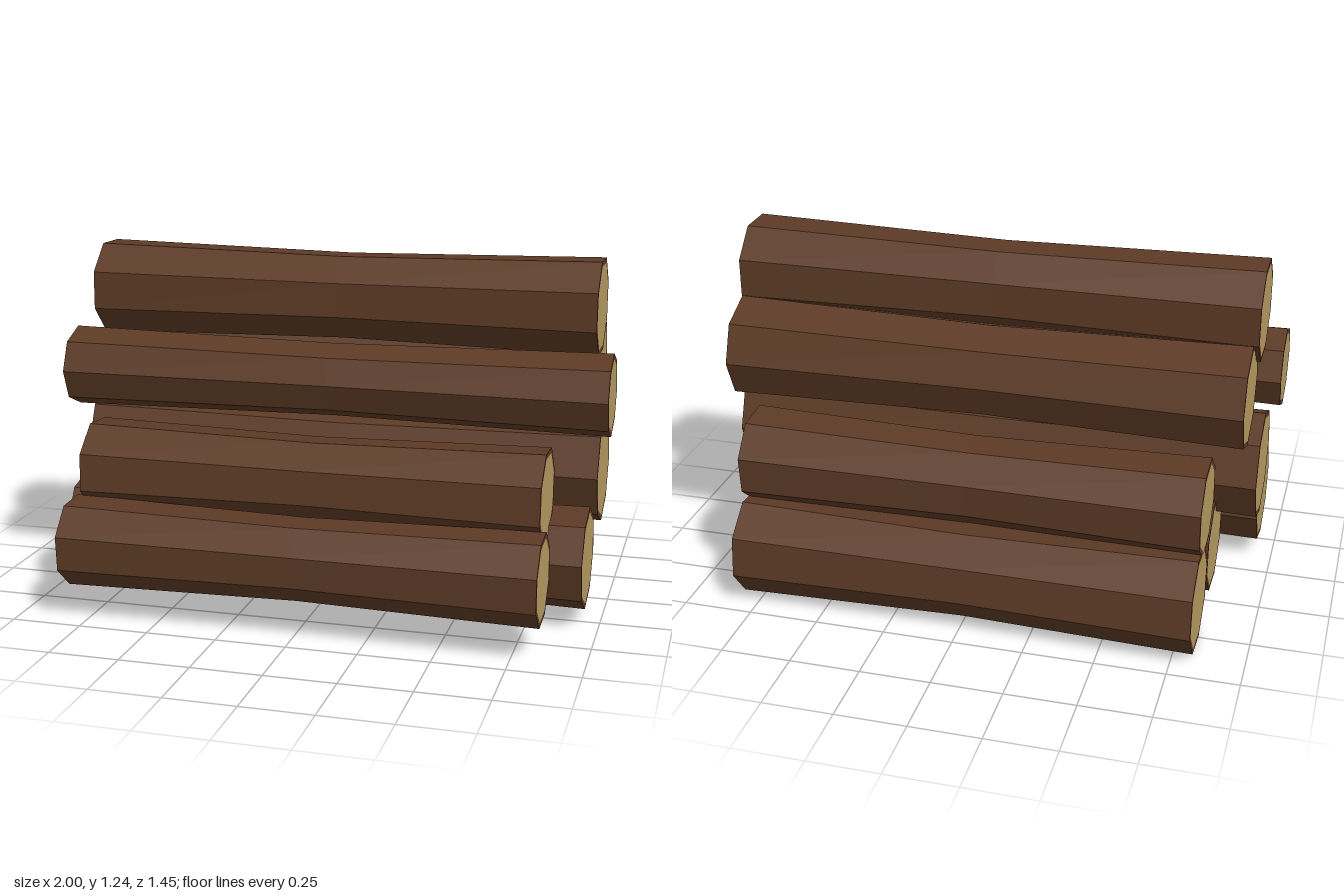
import * as THREE from 'three';

const SIDES = 8;
const RIM = 0.019; // bark thickness seen on the cut ends
const WAIST = 0.9; // logs narrow slightly at mid length

const bark = new THREE.MeshStandardMaterial({ color: 0x5c3a25, flatShading: true });
const wood = new THREE.MeshStandardMaterial({ color: 0xb89d62, flatShading: true });

// Octagonal shell turned around the x axis from [radius, x] points
function turned(name, profile, degrees, material) {
  const points = profile.map(([r, x]) => new THREE.Vector2(r, x));
  const geometry = new THREE.LatheGeometry(points, SIDES, -THREE.MathUtils.degToRad(degrees));
  geometry.rotateZ(-Math.PI / 2);
  const mesh = new THREE.Mesh(geometry, material);
  mesh.name = name;
  return mesh;
}

function createLog(name, z, y, radius, half, degrees) {
  const log = new THREE.Group();
  log.name = name;
  const inner = radius - RIM;
  // Bark with its end rims
  log.add(turned('bark', [
    [inner, -half], [radius, -half], [radius * WAIST, 0], [radius, half], [inner, half],
  ], degrees, bark));
  // Cut wood at both ends
  log.add(turned('rightCutEnd', [[0, -half], [inner, -half]], degrees, wood));
  log.add(turned('leftCutEnd', [[inner, half], [0, half]], degrees, wood));
  log.position.set(0, y, z);
  return log;
}

export function createModel() {
  const stack = new THREE.Group();
  stack.name = 'logPile';
  // name, z, y, radius, half length, roll in degrees
  const logs = [
    ['bottomFrontLog', 0.575, 0.262, 0.16, 0.84, 19],
    ['bottomFrontInnerLog', 0.215, 0.23, 0.182, 0.945, 8],
    ['bottomBackInnerLog', -0.19, 0.222, 0.181, 0.82, 20],
    ['bottomBackLog', -0.543, 0.185, 0.187, 0.82, 17],
    ['secondRowFrontLog', 0.383, 0.49, 0.174, 0.82, 26],
    ['secondRowMiddleLog', -0.06, 0.488, 0.2, 0.96, 2],
    ['secondRowBackLog', -0.445, 0.488, 0.174, 0.82, 28],
    ['thirdRowFrontLog', 0.115, 0.795, 0.148, 1.0, 1],
    ['thirdRowBackLog', -0.25, 0.828, 0.188, 0.92, 2],
    ['topLog', -0.065, 1.075, 0.179, 0.935, 23.5],
  ];
  for (const log of logs) stack.add(createLog(...log));
  return stack;
}
